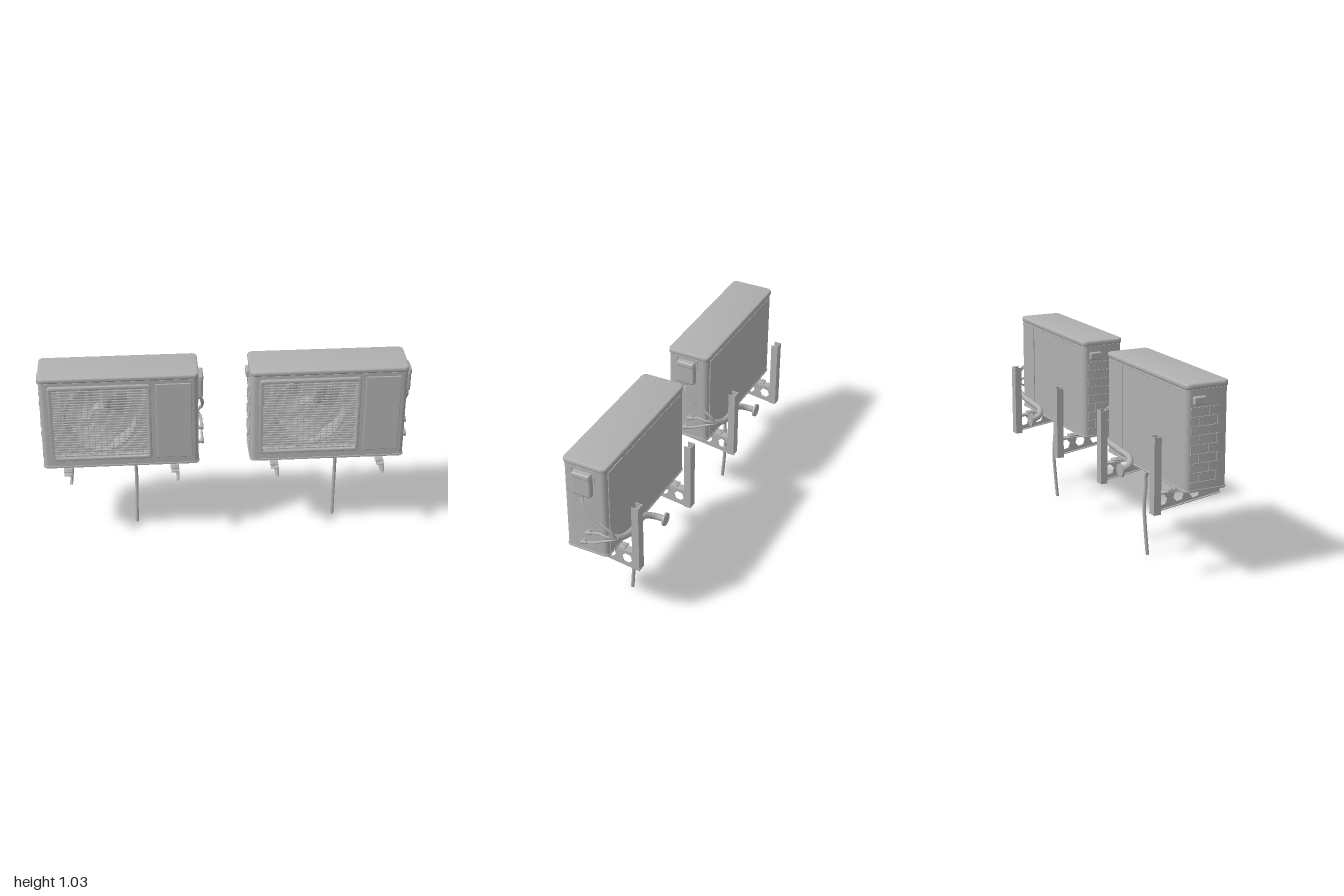
import * as THREE from 'three';
import { toCreasedNormals } from 'three/addons/utils/BufferGeometryUtils.js';
import { RoundedBoxGeometry } from 'three/addons/geometries/RoundedBoxGeometry.js';

const V = (x, y, z) => new THREE.Vector3(x, y, z);
const grey = new THREE.MeshStandardMaterial({ color: 0xb0b0b0, side: THREE.DoubleSide });
grey.name = 'grey';

function add(parent, name, geometry, x = 0, y = 0, z = 0) {
  const m = new THREE.Mesh(geometry, grey);
  m.name = name;
  m.position.set(x, y, z);
  parent.add(m);
  return m;
}

// Box given by its two opposite corners
function box(parent, name, x0, x1, y0, y1, z0, z1) {
  return add(parent, name, new THREE.BoxGeometry(x1 - x0, y1 - y0, z1 - z0),
    (x0 + x1) / 2, (y0 + y1) / 2, (z0 + z1) / 2);
}

function roundBox(parent, name, x0, x1, y0, y1, z0, z1, r) {
  return add(parent, name, new RoundedBoxGeometry(x1 - x0, y1 - y0, z1 - z0, 3, r),
    (x0 + x1) / 2, (y0 + y1) / 2, (z0 + z1) / 2);
}

function tube(parent, name, points, r, segments = 40) {
  const curve = new THREE.CatmullRomCurve3(points.map(p => V(...p)));
  return add(parent, name, new THREE.TubeGeometry(curve, segments, r, 10));
}

function extrude(shape, depth, bevel = 0) {
  const g = new THREE.ExtrudeGeometry(shape, {
    depth: depth - 2 * bevel, bevelEnabled: bevel > 0, bevelSize: bevel, bevelThickness: bevel,
    bevelOffset: -bevel, bevelSegments: 3, curveSegments: 10,
  });
  g.translate(0, 0, bevel);
  return toCreasedNormals(g, 0.6);
}

// Rounded rectangle, with an optional notch cut into its lower side
function roundRect(x0, x1, y0, y1, r, notch, Type = THREE.Shape) {
  const s = new Type();
  s.moveTo(x0 + r, y0);
  if (notch) {
    const [a, b, depth] = notch;
    s.lineTo(a, y0); s.lineTo(a, depth); s.lineTo(b, depth); s.lineTo(b, y0);
  }
  s.lineTo(x1 - r, y0);
  s.absarc(x1 - r, y0 + r, r, -Math.PI / 2, 0);
  s.absarc(x1 - r, y1 - r, r, 0, Math.PI / 2);
  s.absarc(x0 + r, y1 - r, r, Math.PI / 2, Math.PI);
  s.absarc(x0 + r, y0 + r, r, Math.PI, Math.PI * 1.5);
  return s;
}

function buildCasing(unit) {
  const slab = (name, y0, y1, grow, notch, bevel) => {
    const s = roundRect(-0.982 - grow, -0.15 + grow, -0.152 - grow, 0.083 + grow, 0.028, notch);
    add(unit, name, extrude(s, y1 - y0, bevel).rotateX(-Math.PI / 2), 0, y0, 0);
  };
  slab('casingBase', 0.492, 0.565, 0);
  slab('casingWalls', 0.565, 0.965, 0, [-0.92, -0.42, -0.03]);
  slab('casingTop', 0.965, 1.006, 0);
  slab('lid', 1.006, 1.035, 0.004, null, 0.008);
  slab('lowerRim', 0.489, 0.5, 0.003, null, 0.003);

  // Raised panels on the front and back
  roundBox(unit, 'frontPanel', -0.375, -0.185, 0.535, 0.985, 0.148, 0.157, 0.004);
  box(unit, 'rearServicePanel', -0.325, -0.178, 0.51, 1.0, -0.087, -0.08);
  for (let i = 0; i < 26; i++) {
    const x = -0.94 + i * 0.023;
    box(unit, 'rearSlot', x, x + 0.013, 0.992, 0.996, -0.086, -0.08);
  }

  // Staggered louvres and handle on the side
  for (let row = 0; row < 8; row++) {
    const y = 0.535 + row * 0.047;
    box(unit, 'sideLouvre', -0.987, -0.98, y, y + 0.006, -0.06, 0.1);
    for (const z of row % 2 ? [-0.055, 0.045] : [-0.01, 0.09]) {
      box(unit, 'sideLouvreRib', -0.986, -0.98, y, y + 0.047, z - 0.003, z + 0.003);
    }
  }
  box(unit, 'sideLouvre', -0.987, -0.98, 0.911, 0.917, -0.06, 0.1);
  roundBox(unit, 'sideHandle', -0.999, -0.975, 0.93, 0.972, -0.05, 0.02, 0.008);
}

function buildFan(unit) {
  const cx = -0.67, cy = 0.775, R = 0.218;
  // Shroud plate with its round opening and duct
  const plate = roundRect(-0.921, -0.419, 0.564, 0.966, 0.004);
  plate.holes.push(new THREE.Path().absarc(cx, cy, 0.19, 0, Math.PI * 2, true));
  add(unit, 'fanShroud', extrude(plate, 0.008), 0, 0, 0.118);
  add(unit, 'fanRing', new THREE.TorusGeometry(0.194, 0.007, 8, 48), cx, cy, 0.127);
  add(unit, 'fanDuct', new THREE.CylinderGeometry(0.19, 0.19, 0.09, 48, 1, true)
    .rotateX(Math.PI / 2), cx, cy, 0.076);

  // Hub and three swept, twisted blades
  add(unit, 'fanHub', new THREE.CylinderGeometry(0.05, 0.055, 0.06, 32)
    .rotateX(Math.PI / 2), cx, cy, 0.085);
  for (let k = 0; k < 3; k++) {
    const g = new THREE.PlaneGeometry(1, 1, 10, 8);
    const p = g.attributes.position;
    for (let i = 0; i < p.count; i++) {
      const u = p.getX(i) + 0.5, v = p.getY(i) + 0.5;
      const r = 0.045 + 0.137 * v;
      const a = u * (1.15 + 0.35 * v) - 0.7 * v * v + k * Math.PI * 2 / 3;
      p.setXYZ(i, r * Math.cos(a), r * Math.sin(a), (u - 0.5) * 0.055);
    }
    g.computeVertexNormals();
    add(unit, 'fanBlade', g, cx, cy, 0.082);
  }

  // Guard frame and wire grid
  const frame = roundRect(-0.937, -0.4, 0.538, 0.988, 0.018);
  frame.holes.push(roundRect(-0.918, -0.419, 0.557, 0.969, 0.012, null, THREE.Path));
  add(unit, 'guardFrame', extrude(frame, 0.018, 0.004), 0, 0, 0.148);
  for (let i = 0; i < 27; i++) {
    const y = 0.568 + i * 0.015;
    box(unit, 'guardBar', -0.922, -0.415, y - 0.002, y + 0.002, 0.157, 0.164);
  }
  for (let i = 0; i < 15; i++) {
    const x = -0.892 + i * 0.0318;
    box(unit, 'guardUpright', x - 0.002, x + 0.002, 0.552, 0.974, 0.152, 0.159);
  }
  add(unit, 'guardCircle', new THREE.TorusGeometry(R - 0.008, 0.003, 6, 48), cx, cy, 0.154);
  add(unit, 'guardCentre', new THREE.TorusGeometry(0.055, 0.003, 6, 32), cx, cy, 0.155);
}

function buildBracket(unit, x) {
  const b = new THREE.Group();
  b.name = 'wallBracket';
  b.position.x = x;
  unit.add(b);
  // Tapered arm with hexagonal holes
  const arm = new THREE.Shape([[0.202, 0.414], [0.202, 0.47], [-0.165, 0.47], [-0.165, 0.367]]
    .map(p => new THREE.Vector2(...p)));
  for (const [z, y] of [[0.056, 0.436], [-0.037, 0.431], [-0.13, 0.422]]) {
    const hex = [];
    for (let i = 0; i < 6; i++) {
      const a = -i * Math.PI / 3 + 0.2;
      hex.push(new THREE.Vector2(z + 0.03 * Math.cos(a), y + 0.03 * Math.sin(a)));
    }
    arm.holes.push(new THREE.Path(hex));
  }
  add(b, 'armPlate', extrude(arm, 0.005).rotateY(-Math.PI / 2), 0.024);
  box(b, 'armFlange', -0.018, 0.024, 0.465, 0.47, -0.165, 0.202);
  const lip = box(b, 'armLip', 0.008, 0.024, -0.002, 0.002, -0.184, 0.184);
  lip.position.set(0.016, 0.392, 0.0185);
  lip.rotation.x = -Math.atan2(0.047, 0.367);

  // Channel post fixed to the wall
  box(b, 'postBack', -0.025, 0.024, 0.362, 0.76, -0.2, -0.195);
  for (const s of [-0.025, 0.019]) box(b, 'postSide', s, s + 0.005, 0.362, 0.76, -0.2, -0.161);

  // Mounting foot with bolts
  roundBox(b, 'foot', -0.022, 0.022, 0.474, 0.484, -0.12, 0.185, 0.004);
  for (const z of [-0.1, 0.168]) {
    add(b, 'footBolt', new THREE.CylinderGeometry(0.008, 0.008, 0.026, 6), 0, 0.476, z);
    add(b, 'footWasher', new THREE.CylinderGeometry(0.014, 0.016, 0.006, 16), 0, 0.484, z);
  }
}

function buildPlumbing(unit) {
  // Terminal cover and its surround
  roundBox(unit, 'terminalCover', -0.165, -0.122, 0.852, 0.975, -0.015, 0.093, 0.014);
  roundBox(unit, 'coverCap', -0.16, -0.119, 0.955, 0.988, -0.012, 0.09, 0.01);
  roundBox(unit, 'coverOutlet', -0.16, -0.13, 0.838, 0.862, 0.03, 0.075, 0.008);
  box(unit, 'surroundTop', -0.152, -0.147, 1.0, 1.004, -0.025, 0.102);
  box(unit, 'surroundSide', -0.152, -0.147, 0.835, 1.0, 0.099, 0.102);
  box(unit, 'surroundSide', -0.152, -0.147, 0.91, 1.0, -0.025, -0.022);

  // Electric cables
  for (let i = 0; i < 3; i++) {
    const d = i * 0.009;
    tube(unit, 'cable', [[-0.14, 0.85, 0.06 - d], [-0.13 + d / 2, 0.81, 0.045 - d],
      [-0.124 + d / 3, 0.74, -0.02 - d], [-0.13, 0.68, -0.105 - d], [-0.15, 0.63, -0.135]], 0.0045);
  }
  // Service valves and refrigerant pipes
  for (const [y, z] of [[0.63, 0.015], [0.56, 0.045]]) {
    add(unit, 'valveBody', new THREE.CylinderGeometry(0.009, 0.009, 0.035, 12)
      .rotateZ(Math.PI / 2), -0.137, y, z);
    const nut = add(unit, 'valveNut', new THREE.CylinderGeometry(0.01, 0.01, 0.035, 6)
      .rotateX(Math.PI / 2), -0.126, y + 0.003, z - 0.008);
    nut.rotation.x = 0.3;
    tube(unit, 'refrigerantPipe', [[-0.126, y + 0.003, z - 0.01], [-0.126, y + 0.02, z - 0.06],
      [-0.13, 0.62 + (y - 0.56) * 0.3, -0.1], [-0.155, 0.625, -0.14]], 0.006);
  }
  // Wrapped pipe bundle leading to the wall
  tube(unit, 'pipeBundle', [[-0.14, 0.645, -0.1], [-0.165, 0.625, -0.128], [-0.22, 0.6, -0.142],
    [-0.29, 0.58, -0.142], [-0.38, 0.56, -0.128], [-0.47, 0.54, -0.118],
    [-0.52, 0.515, -0.15], [-0.535, 0.503, -0.205]], 0.017, 50);
  add(unit, 'wallFlange', new THREE.CylinderGeometry(0.036, 0.036, 0.011, 24)
    .rotateX(Math.PI / 2), -0.535, 0.503, -0.205);

  // Drain spout and hose
  add(unit, 'drainSpout', new THREE.CylinderGeometry(0.022, 0.018, 0.022, 16), -0.56, 0.483, -0.035);
  tube(unit, 'drainHose', [[-0.565, 0.474, -0.035], [-0.525, 0.468, -0.035], [-0.498, 0.445, -0.034],
    [-0.492, 0.38, -0.034], [-0.49, 0.28, -0.041], [-0.493, 0.15, -0.035], [-0.496, 0.002, -0.023]], 0.0095);
}

export function createModel() {
  const model = new THREE.Group();
  model.name = 'airConditionerPair';
  const unit = new THREE.Group();
  unit.name = 'outdoorUnit';
  buildCasing(unit);
  buildFan(unit);
  for (const x of [-0.855, -0.282]) buildBracket(unit, x);
  buildPlumbing(unit);
  const second = unit.clone();
  second.position.x = 1.11;
  model.add(unit, second);
  return model;
}
